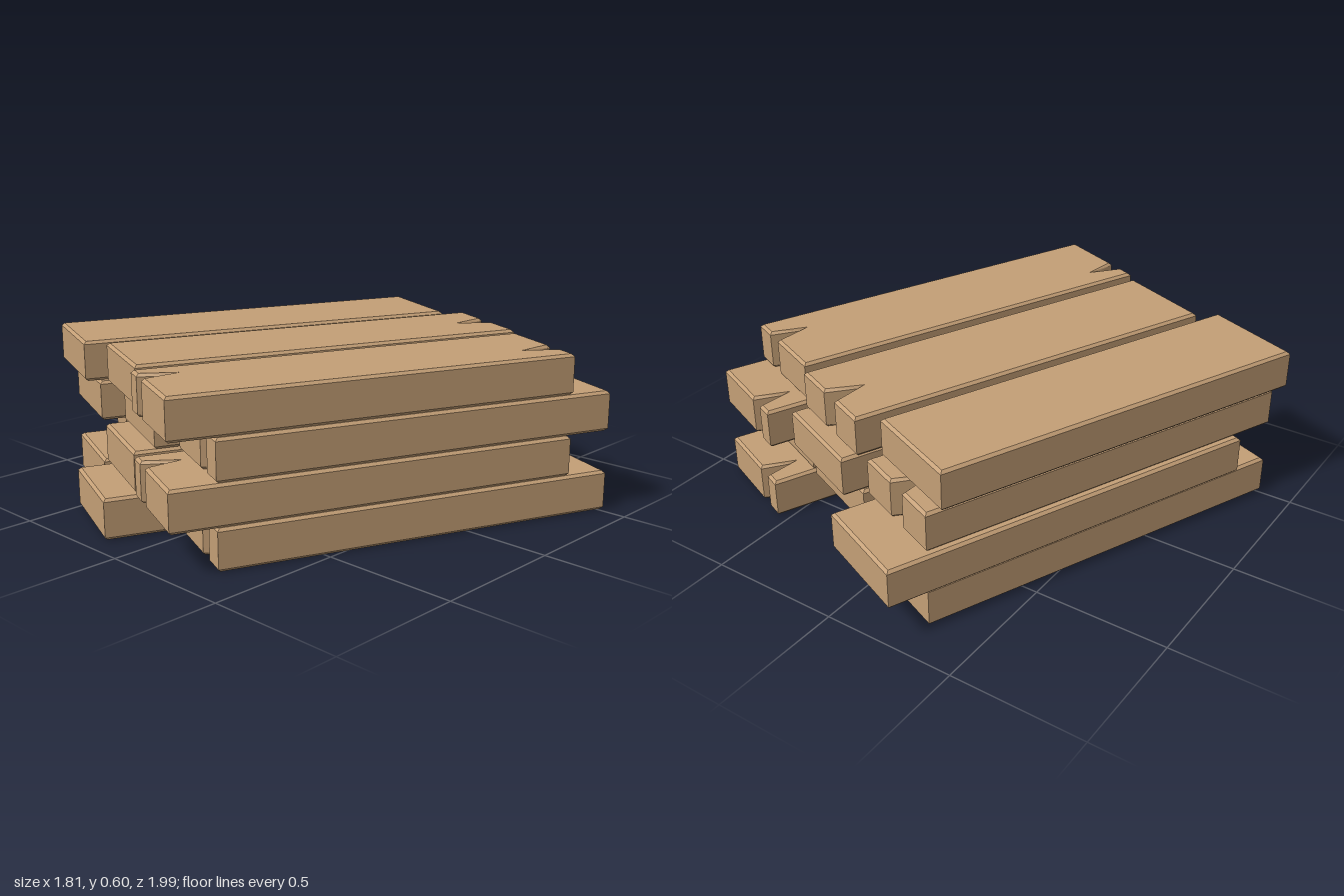
import * as THREE from 'three';

const LENGTH = 1.473, WIDTH = 0.389, HEIGHT = 0.148, PITCH = 0.149, BEVEL = 0.01;

// Notches across a plank end: [start, tip, end, depth], measured from the plank's right edge
const OUTER = [0.068, 0.099, 0.128, 0.122];
const INNER = [0.232, 0.268, 0.298, 0.125];
const CENTRE = [0.15, 0.19, 0.23, 0.122];

// Each layer, bottom to top: [name, side position, front position, front notch, back notch]
const layers = [
  [
    ['rightPlank', -0.607, -0.806, null, CENTRE],
    ['middlePlank', -0.17, -0.915, null, null],
    ['leftPlank', 0.245, -0.65, INNER, OUTER],
  ],
  [
    ['rightPlank', -0.626, -0.652, CENTRE, null],
    ['middlePlank', -0.185, -0.8, null, null],
    ['leftPlank', 0.245, -0.808, OUTER, INNER],
  ],
  [
    ['rightPlank', -0.607, -0.806, null, CENTRE],
    ['middlePlank', -0.18, -0.728, null, null],
    ['leftPlank', 0.245, -0.65, INNER, OUTER],
  ],
  [
    ['rightPlank', -0.625, -0.855, null, null],
    ['middlePlank', -0.194, -0.782, null, CENTRE],
    ['leftPlank', 0.245, -0.808, OUTER, INNER],
  ],
];

// Chamfered plank lying flat, front end at z = 0 and running towards -z
function plankGeometry(frontNotch, backNotch) {
  const points = [[0, 0]];
  if (frontNotch) {
    const [a, tip, b, depth] = frontNotch;
    points.push([a, 0], [tip, depth], [b, 0]);
  }
  points.push([WIDTH, 0], [WIDTH, LENGTH]);
  if (backNotch) {
    const [a, tip, b, depth] = backNotch;
    points.push([b, LENGTH], [tip, LENGTH - depth], [a, LENGTH]);
  }
  points.push([0, LENGTH]);
  const shape = new THREE.Shape(points.map(([x, y]) => new THREE.Vector2(x, y)));
  const geometry = new THREE.ExtrudeGeometry(shape, {
    depth: HEIGHT - 2 * BEVEL,
    bevelEnabled: true,
    bevelThickness: BEVEL,
    bevelSize: BEVEL,
    bevelOffset: -BEVEL,
    bevelSegments: 1,
  });
  geometry.translate(0, 0, BEVEL);
  geometry.rotateX(-Math.PI / 2);
  return geometry;
}

export function createModel() {
  const wood = new THREE.MeshStandardMaterial({ color: 0xc49f76 });
  wood.name = 'wood';

  const model = new THREE.Group();
  model.name = 'plankStack';

  // The whole stack is turned, with its planks running front to back
  const stack = new THREE.Group();
  stack.name = 'turnedStack';
  stack.rotation.y = THREE.MathUtils.degToRad(-22.56);
  model.add(stack);

  layers.forEach((planks, i) => {
    const layer = new THREE.Group();
    layer.name = `layer${i + 1}`;
    layer.position.y = i * PITCH;
    for (const [name, side, front, frontNotch, backNotch] of planks) {
      const plank = new THREE.Mesh(plankGeometry(frontNotch, backNotch), wood);
      plank.name = name;
      plank.position.set(side, 0, -front);
      layer.add(plank);
    }
    stack.add(layer);
  });
  return model;
}
